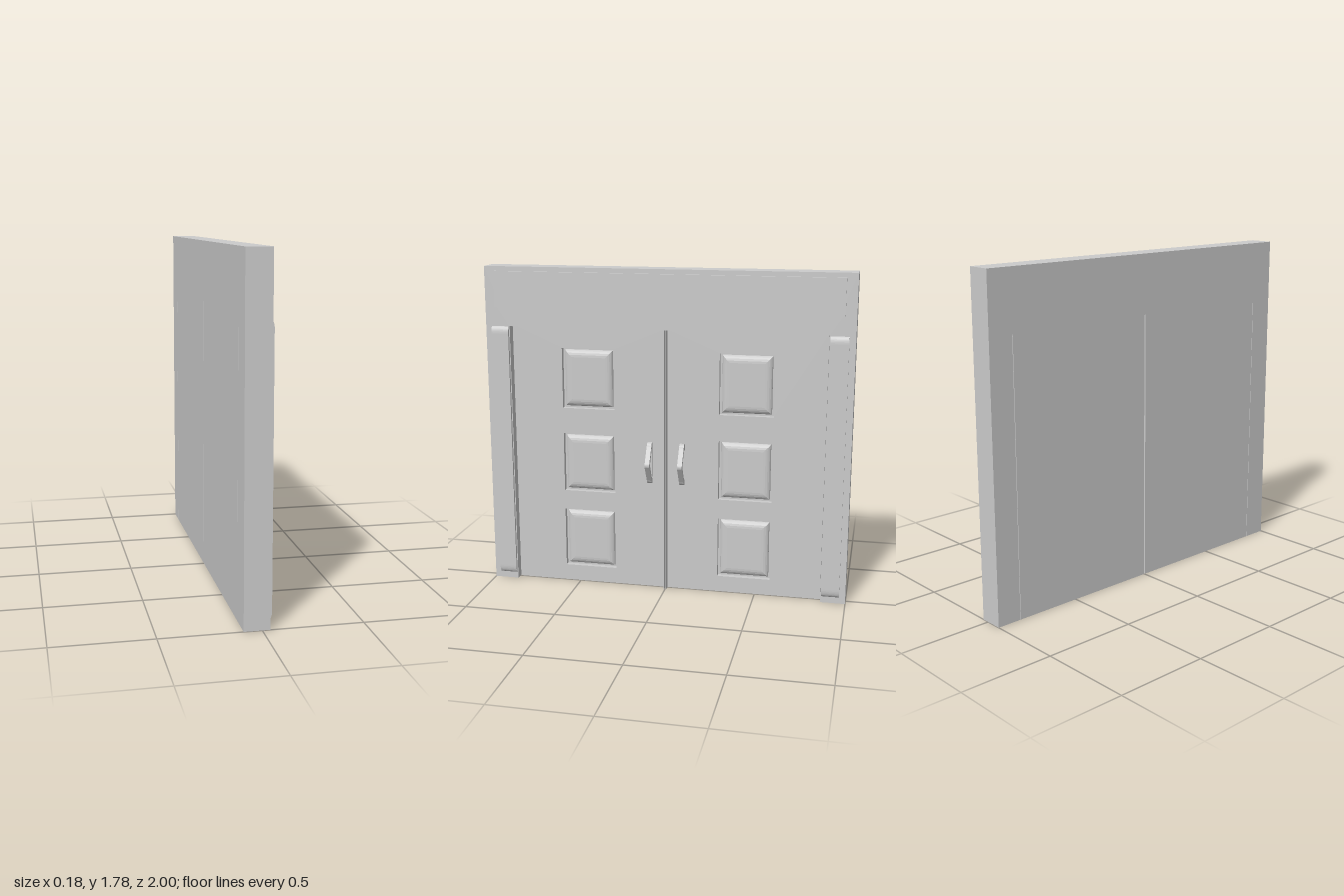
import * as THREE from 'three';

const material = new THREE.MeshStandardMaterial({ color: 0xcccccc });
const BACK = -0.09, DOOR = 0, FRONT = 0.04, RAISED = 0.055;
const DOOR_TOP = 1.465, TOP = 1.785, OPENING = 0.865;

function polygon(points) {
  return new THREE.Shape(points.map(([a, b]) => new THREE.Vector2(a, b)));
}

function rectangle(a0, b0, a1, b1) {
  return polygon([[a0, b0], [a1, b0], [a1, b1], [a0, b1]]);
}

function addMesh(parent, name, geometry) {
  const mesh = new THREE.Mesh(geometry, material);
  mesh.name = name;
  parent.add(mesh);
  return mesh;
}

// Slab whose outline lies in the z/y plane, spanning x0..x1
function slab(parent, name, shape, x0, x1) {
  const geometry = new THREE.ExtrudeGeometry(shape, { depth: x1 - x0, bevelEnabled: false });
  geometry.rotateY(Math.PI / 2).translate(x0, 0, 0);
  return addMesh(parent, name, geometry);
}

// Profile in the x/y plane, extruded across z and centred on z
function profile(parent, name, shape, width, z) {
  const geometry = new THREE.ExtrudeGeometry(shape, { depth: width, bevelEnabled: false, curveSegments: 8 });
  geometry.translate(0, 0, z - width / 2);
  return addMesh(parent, name, geometry);
}

// Raised cushion with rounded edges, set into a door recess
function cushion(parent, z, y0, y1) {
  const bevel = 0.04, half = 0.135;
  const shape = rectangle(-half + bevel, y0 + 0.01 + bevel, half - bevel, y1 - 0.01 - bevel);
  const geometry = new THREE.ExtrudeGeometry(shape, {
    depth: 0.001, bevelThickness: 0.024, bevelSize: bevel, bevelSegments: 5,
  });
  geometry.rotateY(Math.PI / 2).translate(-0.028, 0, z);
  addMesh(parent, 'doorCushion', geometry);
}

function handleShape() {
  const shape = new THREE.Shape();
  shape.moveTo(0, 0.61);
  shape.lineTo(0.012, 0.61);
  shape.quadraticCurveTo(0.025, 0.613, 0.03, 0.628);
  shape.lineTo(0.083, 0.715);
  shape.quadraticCurveTo(0.087, 0.725, 0.083, 0.735);
  shape.lineTo(0.03, 0.822);
  shape.quadraticCurveTo(0.025, 0.837, 0.012, 0.84);
  shape.lineTo(0, 0.84);
  shape.closePath();
  shape.holes.push(polygon([[0.01, 0.64], [0.01, 0.81], [0.018, 0.81], [0.066, 0.725], [0.018, 0.64]]));
  return shape;
}

function createDoor(side) {
  const door = new THREE.Group();
  door.name = side > 0 ? 'leftDoor' : 'rightDoor';
  // The slab outline runs along -z after turning, hence the sign
  const inner = -side * 0.004, outer = -side * 0.862;
  const a0 = Math.min(inner, outer), a1 = Math.max(inner, outer);
  const recesses = [[0.09, 0.425], [0.535, 0.865], [1.01, 1.345]];

  slab(door, 'doorCore', rectangle(a0, 0, a1, DOOR_TOP), BACK, -0.028);
  const face = rectangle(a0, 0, a1, DOOR_TOP);
  for (const [y0, y1] of recesses) {
    const c = -side * 0.437;
    face.holes.push(rectangle(c - 0.147, y0, c + 0.147, y1));
    cushion(door, side * 0.437, y0, y1);
  }
  slab(door, 'doorFace', face, -0.028, DOOR);

  // Thin lip along the meeting edge
  const lip = new THREE.BoxGeometry(FRONT - DOOR, DOOR_TOP, 0.003);
  lip.translate((FRONT + DOOR) / 2, DOOR_TOP / 2, side * 0.0055);
  addMesh(door, 'meetingLip', lip);

  profile(door, 'handle', handleShape(), 0.026, side * 0.09);
  return door;
}

export function createModel() {
  const model = new THREE.Group();
  model.name = 'doubleDoor';

  // Surround: two jambs and a header in one piece
  slab(model, 'frame', polygon([
    [-1, 0], [-OPENING, 0], [-OPENING, DOOR_TOP], [OPENING, DOOR_TOP],
    [OPENING, 0], [1, 0], [1, TOP], [-1, TOP],
  ]), BACK, FRONT);

  // Header board with tapered lower corners
  slab(model, 'headerBoard', rectangle(-0.942, 1.565, 0.942, 1.76), FRONT, RAISED);
  slab(model, 'headerSkirt', polygon([
    [-OPENING, DOOR_TOP], [OPENING, DOOR_TOP], [0.93, 1.565], [-0.93, 1.565],
  ]), FRONT, 0.052);

  // Raised jamb strips with rounded ends
  const strip = new THREE.Shape();
  strip.moveTo(FRONT, 0.035);
  strip.quadraticCurveTo(RAISED, 0.045, RAISED, 0.08);
  strip.lineTo(RAISED, 1.42);
  strip.quadraticCurveTo(RAISED, 1.45, FRONT, 1.46);
  strip.closePath();

  for (const side of [1, -1]) {
    profile(model, 'jambStrip', strip, 0.097, side * 0.918);
    model.add(createDoor(side));
  }
  return model;
}
